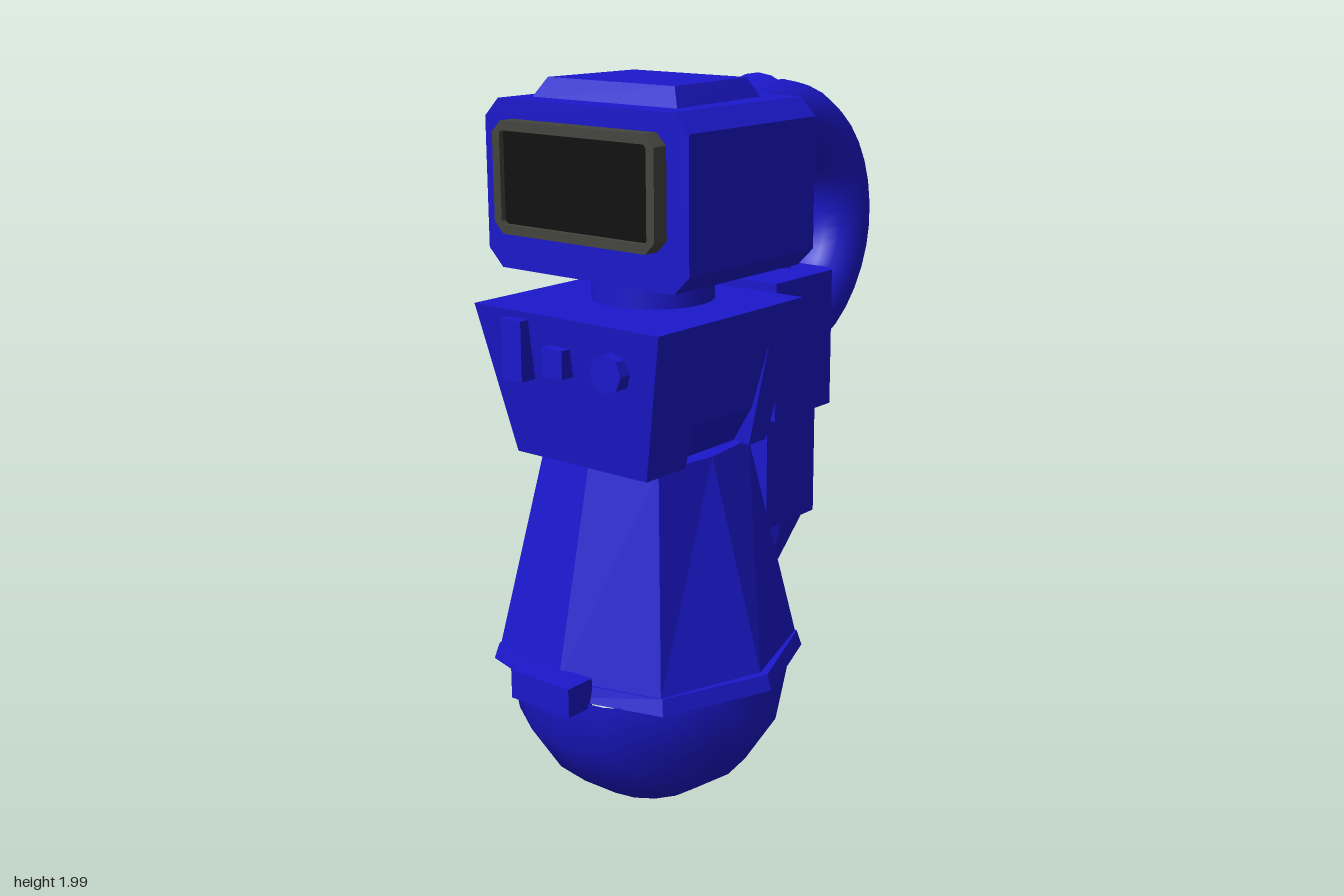
import * as THREE from 'three';

const blue = new THREE.MeshStandardMaterial({ color: 0x1b18cc });
const blueFlat = new THREE.MeshStandardMaterial({ color: 0x1b18cc, flatShading: true });
const grey = new THREE.MeshStandardMaterial({ color: 0x44443f, flatShading: true });
const black = new THREE.MeshStandardMaterial({ color: 0x101010 });

// Stack of horizontal rings ([x, z] counter-clockwise from above), bottom to top, with caps
function loft(levels) {
  const n = levels[0].ring.length, pos = [];
  const p = (l, i) => [l.ring[i % n][0], l.y, l.ring[i % n][1]];
  for (let k = 0; k + 1 < levels.length; k++) {
    const a = levels[k], b = levels[k + 1];
    for (let i = 0; i < n; i++) {
      pos.push(...p(a, i), ...p(a, i + 1), ...p(b, i + 1), ...p(a, i), ...p(b, i + 1), ...p(b, i));
    }
  }
  const lo = levels[0], hi = levels[levels.length - 1];
  for (let i = 1; i + 1 < n; i++) {
    pos.push(...p(lo, 0), ...p(lo, i + 1), ...p(lo, i), ...p(hi, 0), ...p(hi, i), ...p(hi, i + 1));
  }
  const g = new THREE.BufferGeometry();
  g.setAttribute('position', new THREE.Float32BufferAttribute(pos, 3));
  g.computeVertexNormals();
  return g;
}

// Octagon with side reach rx, front reach rz and diagonal corners (dx, dz)
const octagon = (rx, rz, dx, dz, cz = 0.268) => [
  [rx, 0], [dx, -dz], [0, -rz], [-dx, -dz], [-rx, 0], [-dx, dz], [0, rz], [dx, dz],
].map(([x, z]) => [x, z + cz]);

// Rectangle with cut corners
function cutRect(w, h, c) {
  const x = w / 2, y = h / 2;
  return new THREE.Shape([
    [x, c - y], [x, y - c], [x - c, y], [c - x, y], [-x, y - c], [-x, c - y], [c - x, -y], [x - c, -y],
  ].map(q => new THREE.Vector2(...q)));
}

const extrude = (shape, depth) => new THREE.ExtrudeGeometry(shape, { depth, bevelEnabled: false });

// Curve in the plane x = const, turning from angle a0 to a1 (0 = back, 90 degrees = up)
function arcPath(x, cy, cz, r, a0, a1, n) {
  const pts = [];
  for (let i = 0; i <= n; i++) {
    const a = a0 + (a1 - a0) * i / n;
    pts.push(new THREE.Vector3(x, cy + r * Math.sin(a), cz - r * Math.cos(a)));
  }
  return new THREE.CatmullRomCurve3(pts);
}

export function createModel() {
  const root = new THREE.Group();
  const add = (name, geo, mat, x = 0, y = 0, z = 0) => {
    const m = new THREE.Mesh(geo, mat);
    m.name = name;
    m.position.set(x, y, z);
    root.add(m);
    return m;
  };

  // Rounded base and waist rim
  const dome = new THREE.SphereGeometry(0.4, 16, 4, 0, Math.PI * 2, Math.PI / 2, Math.PI / 2);
  add('baseDome', dome, blue, 0, 0.414, 0.27).scale.set(1, 1.03, 0.97);
  add('waistRim', loft([
    { y: 0.412, ring: octagon(0.425, 0.39, 0.305, 0.305) },
    { y: 0.455, ring: octagon(0.412, 0.38, 0.295, 0.295) },
  ]), blueFlat);
  add('buckle', new THREE.BoxGeometry(0.205, 0.08, 0.09), blueFlat, 0, 0.44, 0.665);

  // Tapered lower body
  add('lowerBody', loft([
    { y: 0.45, ring: octagon(0.39, 0.37, 0.29, 0.295) },
    { y: 1.025, ring: octagon(0.225, 0.235, 0.2, 0.19) },
  ]), blueFlat);

  // Chest in three slices; the middle slice has the side recesses
  const front = y => 0.535 + (y - 1.02) * 0.1375;
  const back = y => 0.035 - (y - 1.02) * 0.1;
  const plain = [[0.225, 1.02], [0.315, 1.42]];
  const recessed = [[0.17, 1.02], [0.235, 1.13], [0.29, 1.31], [0.315, 1.42]];
  [
    ['chestFront', plain, () => 0.38, front],
    ['chestMiddle', recessed, () => 0.11, () => 0.38],
    ['chestBack', plain, back, () => 0.11],
  ].forEach(([name, half, z0, z1]) => {
    const outline = [...half, ...half.map(([x, y]) => [-x, y]).reverse()];
    const g = extrude(new THREE.Shape(outline.map(q => new THREE.Vector2(...q))), 1);
    const p = g.attributes.position;
    for (let i = 0; i < p.count; i++) {
      const y = p.getY(i);
      p.setZ(i, p.getZ(i) > 0.5 ? z1(y) : z0(y));
    }
    g.computeVertexNormals();
    add(name, g, blueFlat);
  });

  // Chest controls
  add('chestSlider', new THREE.BoxGeometry(0.07, 0.16, 0.07), blueFlat, -0.16, 1.32, 0.58);
  add('chestButton', new THREE.BoxGeometry(0.07, 0.075, 0.07), blueFlat, -0.023, 1.305, 0.575);
  add('chestDial', new THREE.CylinderGeometry(0.052, 0.052, 0.07, 8), blueFlat, 0.157, 1.305, 0.575)
    .rotation.x = Math.PI / 2;

  // Neck and head
  add('neck', new THREE.CylinderGeometry(0.165, 0.165, 0.14, 24), blue, 0, 1.46, 0.238);
  add('head', extrude(cutRect(0.68, 0.44, 0.048), 0.515), blueFlat, 0, 1.725, -0.012);
  add('headCap', loft([
    { y: 1.94, ring: [[0.245, 0.43], [0.22, 0.06], [-0.22, 0.06], [-0.245, 0.43]] },
    { y: 1.995, ring: [[0.212, 0.4], [0.192, 0.085], [-0.192, 0.085], [-0.212, 0.4]] },
  ]), blueFlat);

  // Visor: frame with an opening and a dark screen
  const frame = cutRect(0.54, 0.29, 0.03);
  frame.holes.push(cutRect(0.49, 0.24, 0.008));
  add('visorFrame', extrude(frame, 0.05), grey, 0, 1.75, 0.5);
  add('visorScreen', new THREE.BoxGeometry(0.5, 0.25, 0.04), black, 0, 1.75, 0.515);

  // Backpack: two boxes with cut rear edges, and two nozzles below
  const px = 0.022;
  const packRing = (w, d, c) => [
    [w, 0], [w, c - d], [w - c, -d], [c - w, -d], [-w, c - d], [-w, 0],
  ].map(([x, z]) => [x + px, z - 0.003]);
  add('packUpper', loft([1.06, 1.445].map(y => ({ y, ring: packRing(0.207, 0.285, 0.025) }))), blueFlat);
  add('packLower', loft([0.742, 1.06].map(y => ({ y, ring: packRing(0.18, 0.25, 0.025) }))), blueFlat);
  for (const s of [-1, 1]) {
    add('packNozzle', new THREE.CylinderGeometry(0.1, 0.033, 0.145, 6), blueFlat, px + s * 0.088, 0.672, -0.132);
    // Thin cable from head to pack
    const cable = arcPath(px + s * 0.08, 1.44, -0.02, 0.19, -0.05, Math.PI / 2 + 0.1, 10);
    add('cable', new THREE.TubeGeometry(cable, 12, 0.02, 8), blue);
  }

  // Large hose with its collar on the back of the head
  const tilt = new THREE.Group();
  tilt.name = 'hoseCollar';
  tilt.position.set(0, 1.812, -0.12);
  tilt.rotation.x = -Math.PI / 2 + 0.2;
  const collar = new THREE.Mesh(new THREE.CylinderGeometry(0.143, 0.143, 0.26, 20), blue);
  collar.name = 'collar';
  tilt.add(collar);
  root.add(tilt);
  const hose = arcPath(0, 1.542, -0.295, 0.302, -Math.PI / 2 - 0.1, Math.PI / 2 + 0.25, 18);
  add('hose', new THREE.TubeGeometry(hose, 20, 0.11, 16), blue);

  return root;
}
